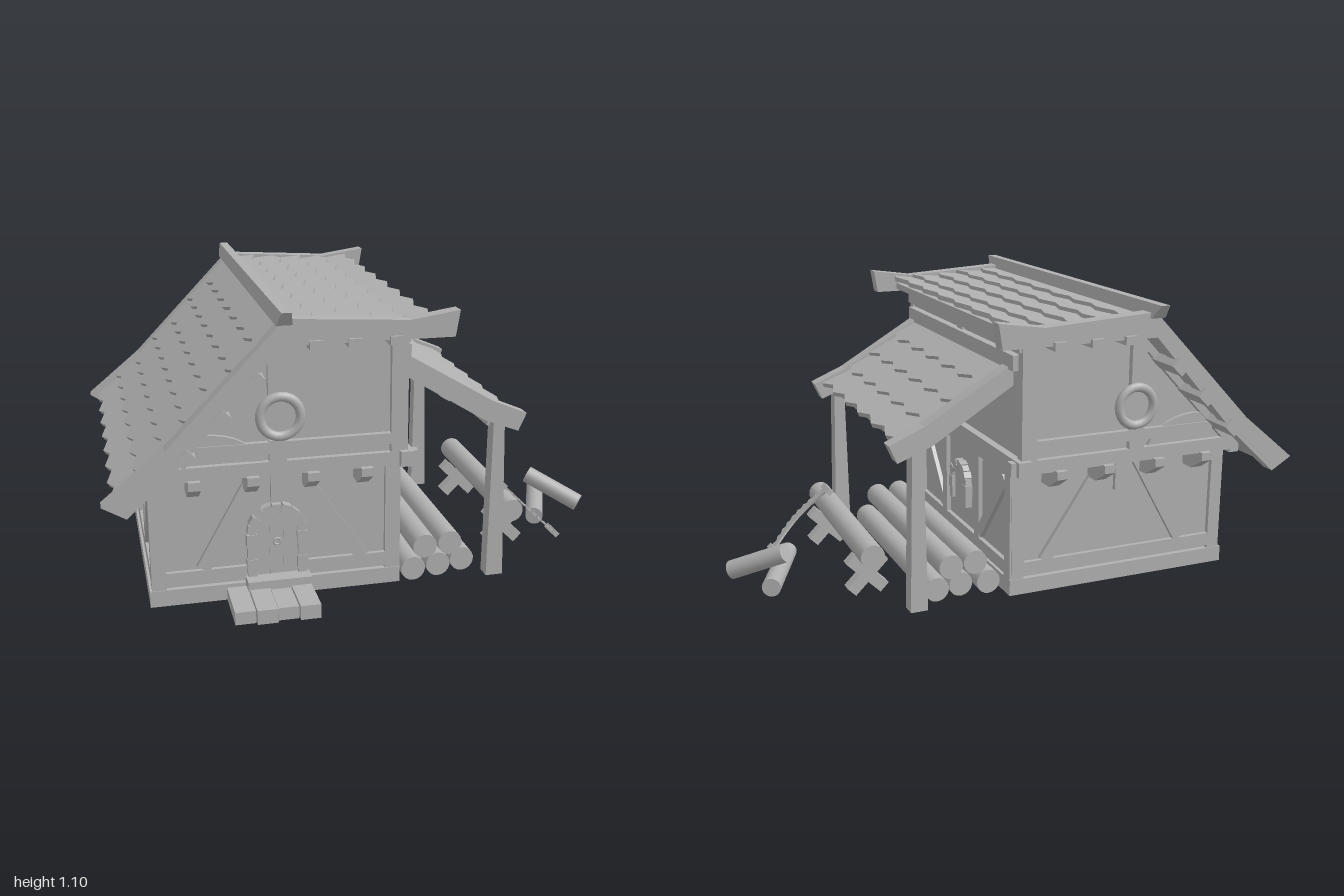
import * as THREE from 'three';

const grey = new THREE.MeshStandardMaterial({ color: 0xb0b0b0 });
grey.name = 'plainGrey';

const V2 = (p) => new THREE.Vector2(p[0], p[1]);
const V3 = (x, y, z) => new THREE.Vector3(x, y, z);

function add(parent, name, geo) {
  const m = new THREE.Mesh(geo, grey);
  m.name = name;
  parent.add(m);
  return m;
}
// box given by its min and max corners
function block(parent, name, x0, x1, y0, y1, z0, z1) {
  const m = add(parent, name, new THREE.BoxGeometry(x1 - x0, y1 - y0, z1 - z0));
  m.position.set((x0 + x1) / 2, (y0 + y1) / 2, (z0 + z1) / 2);
  return m;
}
// outline in x,y extruded from z0 to z1
function prism(parent, name, pts, z0, z1) {
  const geo = new THREE.ExtrudeGeometry(new THREE.Shape(pts.map(V2)), { depth: z1 - z0, bevelEnabled: false });
  geo.translate(0, 0, z0);
  return add(parent, name, geo);
}
// timber lying in an x,y plane between two points
function timber(parent, name, [x1, y1, x2, y2, w], z, depth) {
  const m = add(parent, name, new THREE.BoxGeometry(Math.hypot(x2 - x1, y2 - y1), w, depth));
  m.position.set((x1 + x2) / 2, (y1 + y2) / 2, z);
  m.rotation.z = Math.atan2(y2 - y1, x2 - x1);
  return m;
}
function log(parent, name, a, b, r) {
  const d = b.clone().sub(a);
  const m = add(parent, name, new THREE.CylinderGeometry(r, r, d.length(), 18));
  m.position.copy(a).add(b).multiplyScalar(0.5);
  m.quaternion.setFromUnitVectors(V3(0, 1, 0), d.normalize());
  return m;
}
// overlapping tile courses with zigzag lower edges, following a slope path
function tiles(parent, name, path, rows, z0, z1) {
  const group = new THREE.Group();
  group.name = name;
  parent.add(group);
  const curve = new THREE.SplineCurve(path.map(V2));
  const width = z1 - z0, n = Math.round(width / 0.085);
  for (let i = 0; i < rows; i++) {
    const p0 = curve.getPointAt(i / rows), p1 = curve.getPointAt((i + 1) / rows);
    const s = Math.sign(p1.x - p0.x);
    const t = p1.clone().sub(p0).normalize();
    p1.x -= s * t.y * 0.014;
    p1.y += s * t.x * 0.014;
    const dir = p1.clone().sub(p0), len = dir.length();
    dir.normalize();
    const pts = [[-0.012, -width / 2]];
    for (let k = 0; k <= n; k++) pts.push([len + ((k + i) % 2 ? 0.014 : -0.012), -width / 2 + (k * width) / n]);
    pts.push([-0.012, width / 2]);
    const course = prism(group, 'tileCourse' + i, pts, -0.006, 0.012);
    const X = V3(dir.x, dir.y, 0), Y = V3(0, 0, -s);
    const m = new THREE.Matrix4().makeBasis(X, Y, X.clone().cross(Y));
    course.quaternion.setFromRotationMatrix(m);
    course.position.set(p0.x, p0.y, (z0 + z1) / 2);
  }
}
// arched opening with a surround of stones, base at y0 in the local x,y plane
function arch(parent, name, x, y0, r, straight, z, stone) {
  const g = new THREE.Group();
  g.name = name;
  g.position.set(x, y0, z);
  parent.add(g);
  const s = new THREE.Shape();
  s.moveTo(-r, 0).lineTo(r, 0).lineTo(r, straight).absarc(0, straight, r, 0, Math.PI, false);
  add(g, 'panel', new THREE.ExtrudeGeometry(s, { depth: 0.012, bevelEnabled: false, curveSegments: 14 }));
  const w = stone, mid = r + w / 2, n = 9;
  for (let i = 0; i < n; i++) {
    const a = (Math.PI * (i + 0.5)) / n;
    const b = add(g, 'archStone', new THREE.BoxGeometry(w + (i % 2) * 0.004, (Math.PI * mid) / n * 1.04, 0.026 + (i % 2) * 0.006));
    b.position.set(Math.cos(a) * mid, straight + Math.sin(a) * mid, 0.012);
    b.rotation.z = a;
  }
  const rows = Math.max(1, Math.round(straight / 0.045));
  for (const side of [-1, 1]) for (let i = 0; i < rows; i++) {
    const b = add(g, 'jambStone', new THREE.BoxGeometry(w + (i % 2) * 0.006, straight / rows, 0.026 + (i % 2) * 0.006));
    b.position.set(side * mid, ((i + 0.5) * straight) / rows, 0.012);
  }
  return g;
}

export function createModel() {
  const model = new THREE.Group();
  model.name = 'cottage';

  // Walls
  block(model, 'lowerWalls', -0.825, 0.045, 0.015, 0.51, -0.47, 0.47);
  block(model, 'sill', -0.85, 0.062, 0.015, 0.075, -0.49, 0.49);
  prism(model, 'upperWalls', [[-0.83, 0.5], [0.05, 0.5], [0.05, 0.99], [-0.4, 0.99], [-0.83, 0.535]], -0.555, 0.555);

  // Timber framing on the two gable faces
  const lower = [
    [-0.815, 0.07, -0.815, 0.51, 0.05], [0.03, 0.07, 0.03, 0.51, 0.05],
    [-0.79, 0.112, -0.5, 0.112, 0.05], [-0.29, 0.112, 0.01, 0.112, 0.05],
    [-0.66, 0.14, -0.455, 0.5, 0.05], [-0.33, 0.5, -0.08, 0.13, 0.05],
    [-0.39, 0.37, -0.39, 0.5, 0.045], [-0.84, 0.49, 0.055, 0.49, 0.03],
  ];
  const upper = [
    [-0.84, 0.53, 0.1, 0.53, 0.05], [-0.72, 0.605, 0.01, 0.605, 0.04],
    [0.03, 0.5, 0.03, 0.99, 0.06], [-0.4, 0.79, -0.4, 0.985, 0.06],
    [-0.4, 0.55, -0.4, 0.63, 0.06], [-0.82, 0.53, -0.4, 0.975, 0.04],
    [-0.4, 0.975, 0.05, 0.97, 0.035],
  ];
  for (const s of [1, -1]) {
    lower.forEach((b) => timber(model, 'lowerTimber', b, s * 0.472, 0.03));
    if (s < 0) timber(model, 'lowerTimber', [-0.5, 0.112, -0.29, 0.112, 0.05], s * 0.472, 0.03);
    upper.forEach((b) => timber(model, 'gableTimber', b, s * 0.56, 0.035));
    // curved brace
    const brace = new THREE.Shape();
    brace.moveTo(-0.70, 0.66).quadraticCurveTo(-0.52, 0.68, -0.45, 0.56)
      .lineTo(-0.5, 0.56).quadraticCurveTo(-0.56, 0.63, -0.73, 0.62);
    add(model, 'curvedBrace', new THREE.ExtrudeGeometry(brace, { depth: 0.024, bevelEnabled: false })).position.z = s * 0.56 - 0.012;
    // round window
    const ring = add(model, 'roundWindow', new THREE.TorusGeometry(0.07, 0.017, 8, 24));
    ring.position.set(-0.39, 0.715, s * 0.58);
    const pane = add(model, 'roundPane', new THREE.CylinderGeometry(0.07, 0.07, 0.03, 24));
    pane.rotation.x = Math.PI / 2;
    pane.position.set(-0.39, 0.715, s * 0.555);
  }

  // Floor joists with bevelled ends carrying the overhang
  for (const x of [-0.69, -0.49, -0.28, -0.09]) {
    const joist = prism(model, 'joist', [[-0.6, 0.51], [-0.6, 0.48], [-0.53, 0.435], [0.53, 0.435], [0.6, 0.48], [0.6, 0.51]], -0.021, 0.021);
    joist.rotation.y = Math.PI / 2;
    joist.position.x = x;
  }

  // Side framing and arched windows
  const sideBeams = [
    [-0.46, 0.07, -0.46, 0.51, 0.05], [0.46, 0.07, 0.46, 0.51, 0.05],
    [-0.46, 0.49, 0.46, 0.49, 0.04], [-0.46, 0.112, 0.46, 0.112, 0.05],
    [-0.17, 0.12, -0.17, 0.48, 0.045], [0.17, 0.12, 0.17, 0.48, 0.045],
    [-0.43, 0.45, -0.19, 0.16, 0.045], [0.43, 0.45, 0.19, 0.16, 0.045],
  ];
  for (const s of [1, -1]) {
    const side = new THREE.Group();
    side.name = s > 0 ? 'leftSideFraming' : 'rightSideFraming';
    side.rotation.y = (s * Math.PI) / 2;
    side.position.x = s > 0 ? 0.045 : -0.825;
    model.add(side);
    sideBeams.forEach((b) => timber(side, 'sideTimber', b, 0.002, 0.03));
    arch(side, 'sideWindow', 0, 0.225, 0.06, 0.09, 0.002, 0.025);
  }
  block(model, 'jettyBeam', 0.03, 0.08, 0.505, 0.56, -0.6, 0.6);
  block(model, 'wallPlate', 0.04, 0.08, 0.875, 0.93, -0.54, 0.54);
  block(model, 'topPlate', 0.03, 0.07, 0.945, 0.985, -0.57, 0.57);
  block(model, 'upperStud', 0.04, 0.062, 0.5, 0.99, -0.025, 0.025);
  block(model, 'leftJettyBeam', -0.85, -0.81, 0.49, 0.53, -0.57, 0.57);

  // Front door and stone steps
  const door = arch(model, 'door', -0.395, 0.07, 0.075, 0.19, 0.477, 0.032);
  const knob = add(door, 'doorRing', new THREE.TorusGeometry(0.012, 0.004, 6, 14));
  knob.position.set(0, 0.155, 0.018);
  for (const x of [-0.025, 0.025]) block(door, 'doorGap', x - 0.002, x + 0.002, 0.01, 0.24, 0.01, 0.015);
  block(model, 'upperStep', -0.51, -0.28, 0.02, 0.1, 0.47, 0.55);
  for (let i = 0; i < 4; i++)
    block(model, 'stepStone', -0.58 + i * 0.075, -0.508 + i * 0.075, 0.02, 0.066 + (i % 2) * 0.006, 0.5, 0.7 + (i % 2) * 0.015);

  // Main roof
  prism(model, 'roofBoards', [[-0.39, 1.035], [-0.79, 0.618], [-0.93, 0.488], [-0.91, 0.465], [-0.77, 0.595],
    [-0.4, 0.985], [0, 0.985], [0.1, 0.995], [0.1, 1.02], [0, 1.018]], -0.64, 0.65);
  tiles(model, 'rightSlopeTiles', [[-0.39, 1.04], [-0.79, 0.625], [-0.945, 0.48]], 7, -0.64, 0.65);
  tiles(model, 'leftSlopeTiles', [[-0.39, 1.045], [0, 1.026], [0.115, 1.028]], 5, -0.64, 0.65);
  const barge = [[-0.39, 1.075], [-0.79, 0.66], [-1.0, 0.487], [-0.92, 0.44], [-0.74, 0.605], [-0.4, 0.985],
    [0.03, 0.985], [0.185, 0.985], [0.2, 1.075], [0.03, 1.05]];
  prism(model, 'bargeBoard', barge, 0.64, 0.695);
  prism(model, 'bargeBoard', barge, -0.69, -0.635);
  // purlins poking out under the eaves
  for (const [x, y] of [[-0.49, 0.875], [-0.605, 0.755], [-0.725, 0.63]])
    timber(model, 'purlin', [x - 0.02, y - 0.02, x + 0.02, y + 0.02, 0.04], 0, 1.41);
  for (const x of [-0.29, -0.16, -0.02]) block(model, 'purlin', x - 0.022, x + 0.022, 0.97, 1.0, -0.705, 0.705);
  // ridge beam, longer along its top
  const ridge = new THREE.BoxGeometry(0.055, 0.05, 1.49);
  const p = ridge.attributes.position;
  for (let i = 0; i < p.count; i++) {
    if (p.getY(i) > 0) p.setX(i, p.getX(i) * 0.6);
    else p.setZ(i, p.getZ(i) * 0.94);
  }
  ridge.computeVertexNormals();
  add(model, 'ridgeBeam', ridge).position.set(-0.393, 1.08, 0);

  // Lean-to roof on posts
  prism(model, 'leanToBoards', [[0.06, 0.86], [0.32, 0.7], [0.45, 0.632], [0.44, 0.612], [0.31, 0.68], [0.06, 0.83]], -0.45, 0.475);
  tiles(model, 'leanToTiles', [[0.06, 0.868], [0.32, 0.706], [0.465, 0.628]], 4, -0.45, 0.475);
  const leanBarge = [[0.06, 0.895], [0.39, 0.7], [0.52, 0.645], [0.49, 0.58], [0.36, 0.63], [0.06, 0.815]];
  for (const [z0, z1] of [[0.473, 0.53], [-0.5, -0.445]]) {
    prism(model, 'leanToBarge', leanBarge, z0, z1);
    prism(model, 'leanToPost', [[0.385, 0.02], [0.45, 0.02], [0.437, 0.62], [0.395, 0.62]], z0, z1);
  }
  block(model, 'leanToBeam', 0.385, 0.425, 0.595, 0.635, -0.46, 0.49);
  timber(model, 'leanToPurlin', [0.215, 0.735, 0.25, 0.714, 0.04], 0.015, 0.95);

  // Stacked logs
  [[0.117, 0.055, -0.42, 0.48], [0.22, 0.053, -0.4, 0.46], [0.32, 0.055, -0.42, 0.44], [0.165, 0.135, -0.41, 0.47], [0.265, 0.135, -0.42, 0.46]]
    .forEach(([x, y, z0, z1]) => log(model, 'stackedLog', V3(x, y, z0), V3(x, y, z1), 0.046));

  // Sawhorse with a log on it
  for (const z of [-0.28, 0.26]) for (const s of [1, -1])
    timber(model, 'sawhorseLeg', [0.545 - s * 0.063, 0.045, 0.545 + s * 0.063, 0.17, 0.045], z + s * 0.001, 0.042);
  log(model, 'sawhorseLog', V3(0.55, 0.205, -0.385), V3(0.54, 0.205, 0.38), 0.045);

  // Curved two-handled saw leaning on the log
  const blade = [], len = 0.322, bow = (t) => Math.sin(Math.PI * t);
  for (let i = 0; i <= 10; i++) blade.push([(len * i) / 10, 0.218 + 0.042 * bow(i / 10)]);
  for (let i = 20; i >= 0; i--) blade.push([(len * i) / 20, 0.245 + 0.05 * bow(i / 20) + (i % 2 ? 0.014 : 0)]);
  const saw = new THREE.Group();
  saw.name = 'saw';
  const X = V3(0.235, -0.23, 0).normalize(), Y = V3(0, 0, 1);
  saw.quaternion.setFromRotationMatrix(new THREE.Matrix4().makeBasis(X, Y, X.clone().cross(Y)));
  saw.position.set(0.548, 0.265, 0);
  model.add(saw);
  prism(saw, 'sawBlade', blade, -0.004, 0.004);
  for (const u of [0, len]) block(saw, 'sawHandle', u - 0.011, u + 0.011, 0.19, 0.275, -0.011, 0.011);

  // Loose logs
  log(model, 'looseLog', V3(0.74, 0.066, 0.135), V3(0.88, 0.066, -0.195), 0.035);
  log(model, 'leaningLog', V3(0.803, 0.157, -0.105), V3(0.98, 0.063, 0.035), 0.036);

  return model;
}
